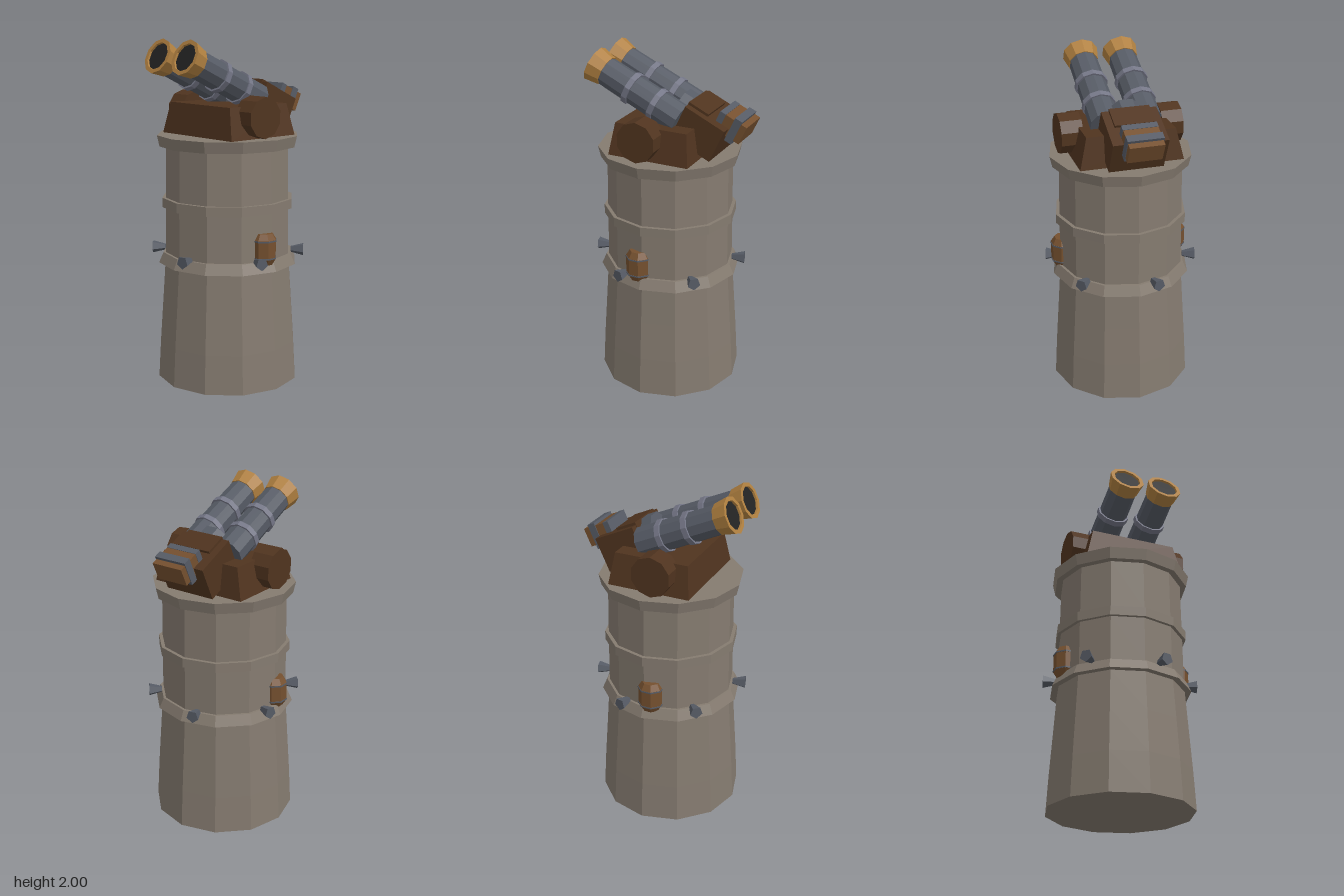
import * as THREE from 'three';

const mat = (name, color) => {
  const m = new THREE.MeshStandardMaterial({ color });
  m.name = name;
  return m;
};

export function createModel() {
  const stone = mat('stone', 0x857b70);
  const darkBrown = mat('dark brown', 0x50341f);
  const brown = mat('brown', 0x75502f);
  const slate = mat('slate', 0x565b65);
  const steel = mat('pale steel', 0x747686);
  const brass = mat('brass', 0xb08040);
  const black = mat('bore black', 0x232323);

  const root = new THREE.Group();
  root.name = 'cannonTower';

  // Faceted mesh helper
  const add = (parent, name, geo, material, x = 0, y = 0, z = 0) => {
    const g = geo.index ? geo.toNonIndexed() : geo;
    g.computeVertexNormals();
    const mesh = new THREE.Mesh(g, material);
    mesh.name = name;
    mesh.position.set(x, y, z);
    parent.add(mesh);
    return mesh;
  };
  const lathe = (pts, sides) =>
    new THREE.LatheGeometry(pts.map(([r, y]) => new THREE.Vector2(r, y)), sides);
  // Prism with its axis along z
  const drum = (rFront, rBack, length, sides, phase = 0) =>
    new THREE.CylinderGeometry(rFront, rBack, length, sides, 1, false, phase).rotateX(Math.PI / 2);
  const box = (w, h, d) => new THREE.BoxGeometry(w, h, d);

  const CZ = 0.022; // tower axis

  // Stone tower with flared collar, band and top rim
  add(root, 'tower', lathe([
    [0, 0], [0.42, 0], [0.407, 0.23], [0.39, 0.47], [0.374, 0.70],
    [0.412, 0.70], [0.385, 0.76], [0.37, 0.76],
    [0.368, 1.03], [0.388, 1.03], [0.388, 1.085], [0.367, 1.085],
    [0.363, 1.385], [0.4, 1.385], [0.415, 1.45], [0, 1.45],
  ], 12), stone, 0, 0, CZ);

  // Six flared studs around the collar
  for (let i = 0; i < 6; i++) {
    const a = THREE.MathUtils.degToRad(16.5 + 60 * i);
    const stud = add(root, 'stud', drum(0.038, 0.018, 0.075, 5), slate,
      0.41 * Math.cos(a), 0.768, CZ + 0.41 * Math.sin(a));
    stud.rotation.y = Math.PI / 2 - a;
  }

  // Lanterns and elevation pivots on both sides
  for (const s of [1, -1]) {
    const lantern = new THREE.Group();
    lantern.name = 'lantern';
    lantern.position.set(s * 0.342, 0.83, 0.055);
    root.add(lantern);
    const p = Math.PI / 8;
    add(lantern, 'lanternBody', lathe([
      [0, -0.09], [0.052, -0.09], [0.074, -0.055], [0.074, 0.055], [0.052, 0.09], [0, 0.09],
    ], 8).rotateY(p), brown);
    for (const y of [-0.05, 0.05]) {
      add(lantern, 'lanternBand', new THREE.CylinderGeometry(0.077, 0.077, 0.008, 8).rotateY(p), slate, 0, y);
    }

    // Vertex of the decagon at the top
    add(root, 'pivot', new THREE.CylinderGeometry(0.117, 0.117, 0.125, 10)
      .rotateY(Math.PI / 2).rotateZ(Math.PI / 2), darkBrown, s * 0.295, 1.57, 0.06);
  }

  // Turret base: a box with its top drawn in
  const base = box(0.6, 0.18, 0.488);
  const pos = base.attributes.position;
  for (let i = 0; i < pos.count; i++) {
    if (pos.getY(i) > 0) {
      pos.setX(i, pos.getX(i) * 0.857);
      pos.setZ(i, pos.getZ(i) * 0.895);
    }
  }
  add(root, 'turretBase', base, darkBrown, 0, 1.54, 0.018);

  // Tilted gun: local +z runs along the barrels, origin between the muzzles
  const gun = new THREE.Group();
  gun.name = 'gun';
  gun.position.set(0, 1.905, 0.437);
  gun.rotation.x = THREE.MathUtils.degToRad(-25);
  root.add(gun);

  for (const s of [1, -1]) {
    const x = s * 0.119;
    add(gun, 'barrel', drum(0.083, 0.088, 0.53, 10), slate, x, 0, -0.325);
    for (const z of [-0.265, -0.435]) {
      add(gun, 'barrelBand', drum(0.096, 0.096, 0.032, 10), steel, x, 0, z);
    }
    // Hollow muzzle ring and dark bore
    add(gun, 'muzzle', lathe([
      [0.07, -0.085], [0.088, -0.085], [0.104, 0], [0.081, 0], [0.078, -0.03],
    ], 10).rotateX(Math.PI / 2), brass, x);
    add(gun, 'bore', new THREE.CircleGeometry(0.081, 10).rotateZ(Math.PI / 2), black, x, 0, -0.012);
  }

  // Breech and cradle
  add(gun, 'breech', drum(0.1, 0.1, 0.1, 8, Math.PI / 8), slate, 0, 0.019, -0.575);
  add(gun, 'cradle', box(0.316, 0.206, 0.257), darkBrown, 0, 0, -0.722);
  add(gun, 'cradlePlate', box(0.23, 0.03, 0.13), darkBrown, 0, 0.103, -0.655);

  // Counterweight with two clamps
  add(gun, 'counterweight', box(0.196, 0.11, 0.148), brown, 0, 0.11, -0.864);
  add(gun, 'rearClamp', box(0.204, 0.15, 0.045), slate, 0, 0.106, -0.88);
  add(gun, 'frontClamp', box(0.2, 0.114, 0.036), slate, 0, 0.11, -0.785);

  return root;
}
